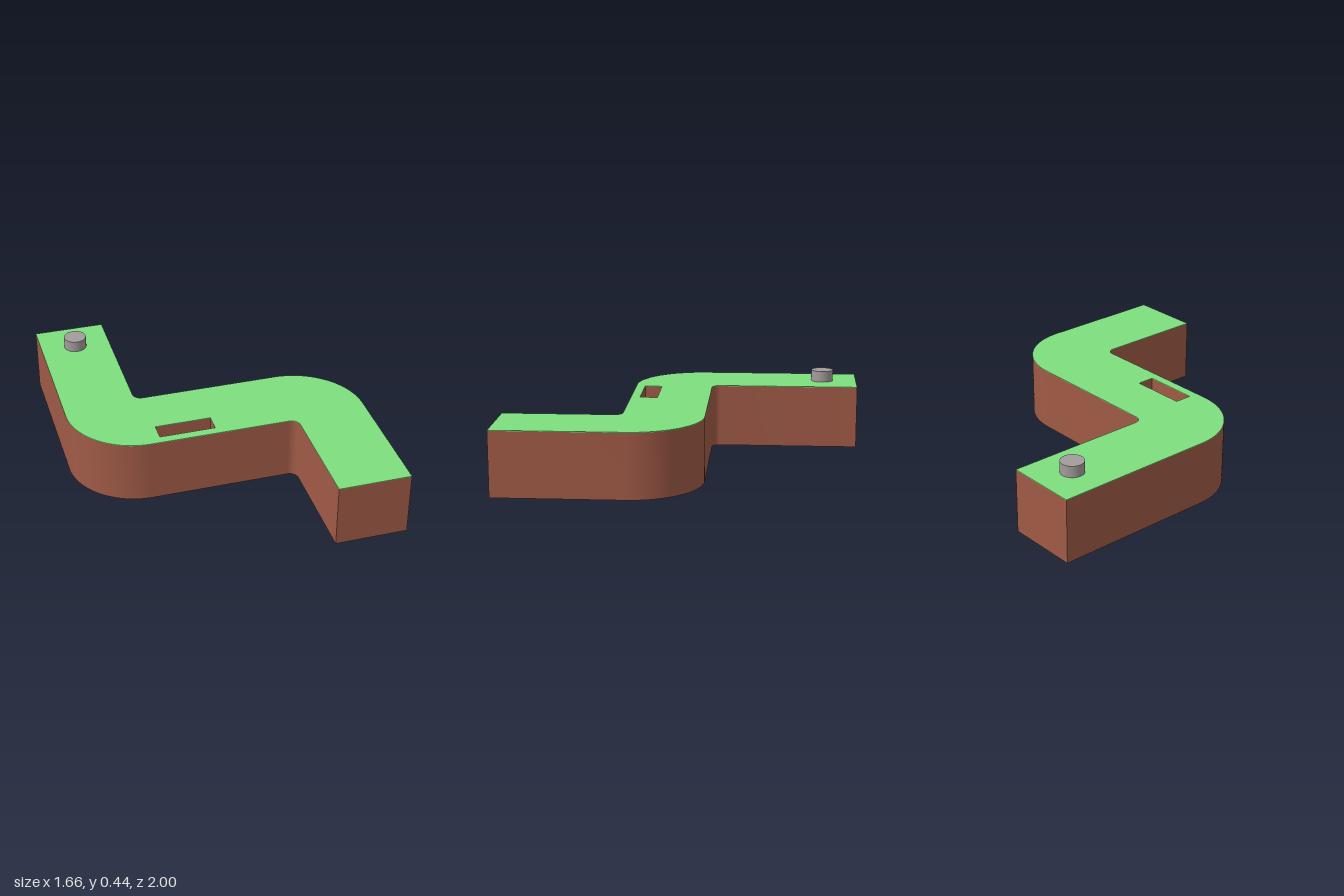
import * as THREE from 'three';
import { toCreasedNormals } from 'three/addons/utils/BufferGeometryUtils.js';

const HEIGHT = 0.37, SKIN = 0.004;
const R = 0.4, FILLET = 0.05; // outer bend and inner corner radii

// S-shaped plan with a rectangular slot; shape y is -z
function planShape() {
  const s = new THREE.Shape();
  const PI = Math.PI;
  s.moveTo(-0.83, 1);
  s.lineTo(-0.83, -0.33 + R);
  s.absarc(-0.83 + R, -0.33 + R, R, PI, 1.5 * PI, false);
  s.absarc(0.417 - FILLET, -0.33 - FILLET, FILLET, PI / 2, 0, true);
  s.lineTo(0.417, -1);
  s.lineTo(0.83, -1);
  s.absarc(0.83 - R, 0.128 - R, R, 0, PI / 2, false);
  s.absarc(-0.417 + FILLET, 0.128 + FILLET, FILLET, 1.5 * PI, PI, true);
  s.lineTo(-0.417, 1);
  s.closePath();

  const slot = new THREE.Path();
  slot.moveTo(-0.37, -0.175);
  slot.lineTo(-0.05, -0.175);
  slot.lineTo(-0.05, -0.277);
  slot.lineTo(-0.37, -0.277);
  slot.closePath();
  s.holes.push(slot);
  return s;
}

function addPart(group, name, geometry, color, y) {
  const mesh = new THREE.Mesh(geometry, new THREE.MeshStandardMaterial({ color }));
  mesh.name = name;
  mesh.position.y = y;
  group.add(mesh);
  return mesh;
}

function slab(shape, depth) {
  const g = new THREE.ExtrudeGeometry(shape, { depth, bevelEnabled: false, curveSegments: 20 });
  return toCreasedNormals(g.rotateX(-Math.PI / 2), 0.6);
}

export function createModel() {
  const group = new THREE.Group();
  group.name = 'zigzagCourse';
  const plan = planShape();

  // brown body with a thin green surface
  addPart(group, 'body', slab(plan, HEIGHT - SKIN), 0xa05a46, 0);
  addPart(group, 'greenSurface', slab(plan, SKIN), 0x7ee07e, HEIGHT - SKIN);

  // short round peg near the back end
  const peg = addPart(group, 'peg', new THREE.CylinderGeometry(0.066, 0.066, 0.07, 32), 0xa39c9c, HEIGHT + 0.031);
  peg.position.x = -0.624;
  peg.position.z = -0.793;
  return group;
}
